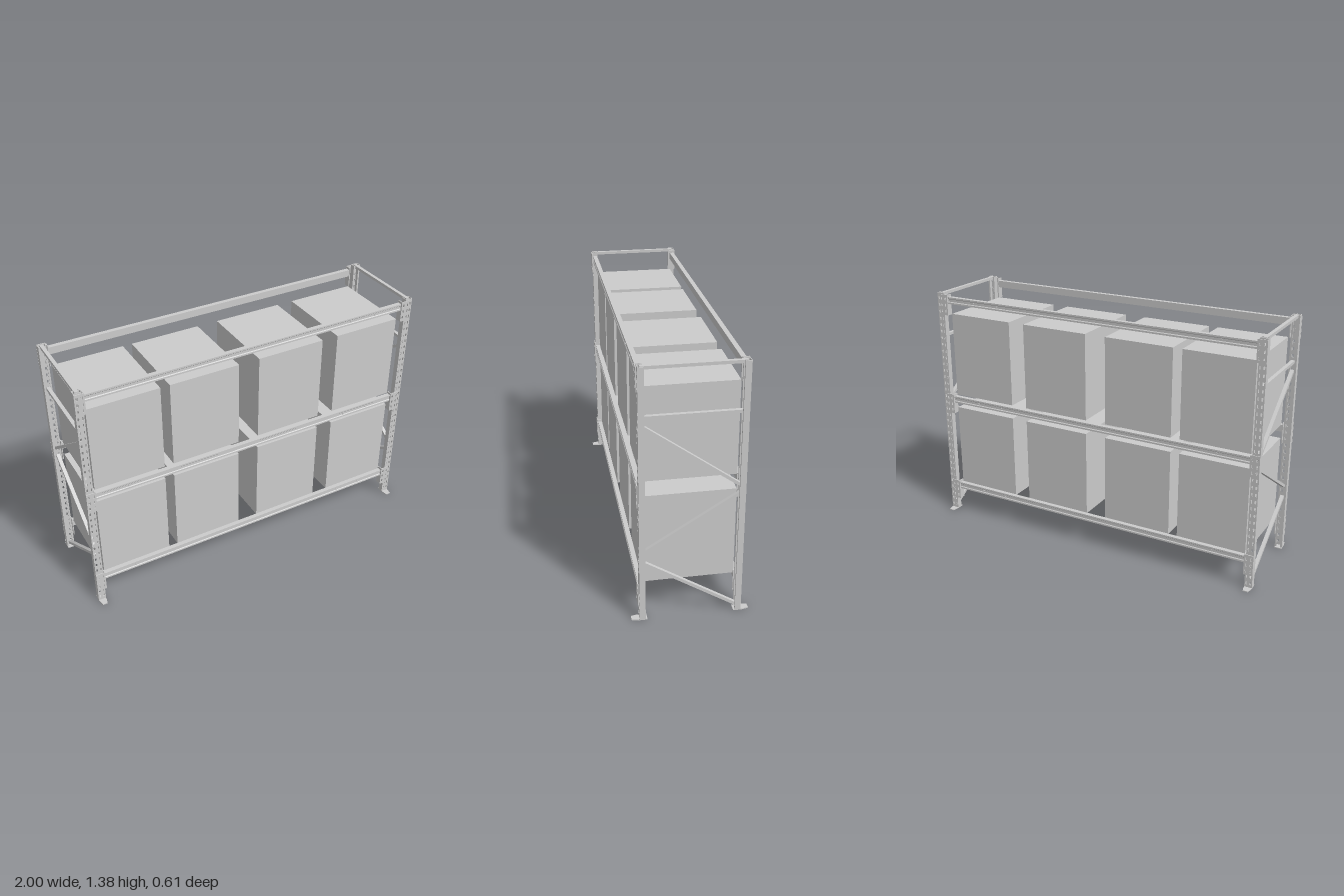
import * as THREE from 'three';

const material = new THREE.MeshStandardMaterial({ color: 0xcccccc, flatShading: true });

function add(parent, name, geometry, x = 0, y = 0, z = 0) {
  const mesh = new THREE.Mesh(geometry, material);
  mesh.name = name;
  mesh.position.set(x, y, z);
  parent.add(mesh);
  return mesh;
}

// Box given by its lower and upper corners
function span(parent, name, [x0, y0, z0], [x1, y1, z1]) {
  return add(parent, name, new THREE.BoxGeometry(x1 - x0, y1 - y0, z1 - z0),
    (x0 + x1) / 2, (y0 + y1) / 2, (z0 + z1) / 2);
}

// Upright plate with two columns of tapered slots, standing on y = 0
function slottedPlate(width, height, pitch, depth) {
  const shape = new THREE.Shape([[-1, 0], [1, 0], [1, 1], [-1, 1]]
    .map(([x, y]) => new THREE.Vector2(x * width / 2, y * height)));
  const rows = Math.floor(height / pitch);
  const start = (height - (rows - 1) * pitch) / 2;
  for (let i = 0; i < rows; i++) {
    for (const side of [-1, 1]) {
      const cx = side * width * 0.24, cy = start + i * pitch;
      const slot = [[-0.003, -0.009], [-0.005, 0.005], [-0.003, 0.009],
        [0.003, 0.009], [0.005, 0.005], [0.003, -0.009]];
      shape.holes.push(new THREE.Path(slot.map(([x, y]) => new THREE.Vector2(cx + x, cy + y))));
    }
  }
  return new THREE.ExtrudeGeometry(shape, { depth, bevelEnabled: false });
}

const HEIGHT = 1.38;
const postGeometry = slottedPlate(0.043, HEIGHT, 0.04, 0.003);
const connectorGeometry = slottedPlate(0.053, 0.12, 0.036, 0.005);

// Channel post, closed face towards local +z, with lips and a foot plate
function makePost() {
  const post = new THREE.Group();
  post.name = 'post';
  add(post, 'postFace', postGeometry, 0, 0, 0.259);
  for (const s of [-1, 1]) {
    add(post, 'postSide', new THREE.BoxGeometry(0.003, HEIGHT, 0.029), s * 0.02, HEIGHT / 2, 0.2455);
    add(post, 'postLip', new THREE.BoxGeometry(0.01, HEIGHT, 0.003), s * 0.0165, HEIGHT / 2, 0.2325);
  }
  const outline = [[-0.021, -0.222], [0.021, -0.222], [0.021, -0.27], [0.014, -0.303],
    [-0.014, -0.303], [-0.021, -0.27]].map(([x, y]) => new THREE.Vector2(x, y));
  const foot = new THREE.ExtrudeGeometry(new THREE.Shape(outline), { depth: 0.005, bevelEnabled: false });
  foot.rotateX(-Math.PI / 2);
  add(post, 'footPlate', foot);
  return post;
}

// End frame: two posts, horizontal ties and zigzag braces
function makeEndFrame(x) {
  const frame = new THREE.Group();
  frame.name = 'endFrame';
  for (const turn of [0, Math.PI]) {
    const post = makePost();
    post.rotation.y = turn;
    frame.add(post);
  }
  const braces = [ // start z, y and end z, y
    [0.25, 1.372, -0.25, 1.372],
    [0.235, 1.125, -0.235, 1.125],
    [0.235, 1.075, -0.235, 0.735],
    [0.235, 0.395, -0.235, 0.687],
    [0.235, 0.33, -0.235, 0.032],
  ];
  for (const [z0, y0, z1, y1] of braces) {
    const length = Math.hypot(z1 - z0, y1 - y0);
    const brace = add(frame, 'brace', new THREE.BoxGeometry(0.02, 0.016, length),
      0, (y0 + y1) / 2, (z0 + z1) / 2);
    brace.rotation.x = Math.atan2(y1 - y0, z0 - z1);
  }
  frame.position.x = x;
  return frame;
}

// Beam cross-section (across, up) with a shallow groove on the outer face
const beamProfile = new THREE.Shape([
  [0.236, -0.02], [0.261, -0.02], [0.261, -0.011], [0.257, -0.007], [0.257, 0.007],
  [0.261, 0.011], [0.261, 0.02], [0.236, 0.02],
].map(([x, y]) => new THREE.Vector2(x, y)));

const BEAM_LEFT = -0.946, BEAM_RIGHT = 0.926;

// Beam on the given side (1 front, -1 back) with its end connectors
function makeBeam(y, side) {
  const beam = new THREE.Group();
  beam.name = 'beam';
  const geometry = new THREE.ExtrudeGeometry(beamProfile,
    { depth: BEAM_RIGHT - BEAM_LEFT, bevelEnabled: false });
  geometry.translate(0, 0, -(BEAM_RIGHT - BEAM_LEFT) / 2);
  const rail = add(beam, 'beamRail', geometry, (BEAM_LEFT + BEAM_RIGHT) / 2, y, 0);
  rail.rotation.y = -side * Math.PI / 2;

  for (const [end, x] of [[-1, BEAM_LEFT], [1, BEAM_RIGHT]]) {
    const plate = add(beam, 'connectorPlate', connectorGeometry,
      x + end * 0.0265, y - 0.087, side * 0.263);
    plate.rotation.y = side > 0 ? 0 : Math.PI;
    add(beam, 'connectorFlange', new THREE.BoxGeometry(0.005, 0.12, 0.036),
      x + end * 0.0025, y - 0.027, side * 0.25);
  }
  // Small bolt heads in the groove
  for (const x of [-0.76, 0.59, 0.75]) {
    const bolt = add(beam, 'bolt', new THREE.CylinderGeometry(0.006, 0.006, 0.006, 8), x, y, side * 0.258);
    bolt.rotation.x = Math.PI / 2;
  }
  return beam;
}

export function createModel() {
  const rack = new THREE.Group();
  rack.name = 'palletRack';

  for (const x of [-0.977, 0.977]) rack.add(makeEndFrame(x));

  for (const y of [0.167, 0.735, 1.34]) {
    for (const side of [1, -1]) rack.add(makeBeam(y, side));
  }

  // Four crates on each of the two levels
  for (const y of [0.182, 0.76]) {
    for (const x of [-0.94, -0.49, 0.03, 0.525]) {
      span(rack, 'crate', [x, y, -0.235], [x + 0.398, y + 0.496, 0.235]);
    }
  }
  return rack;
}
